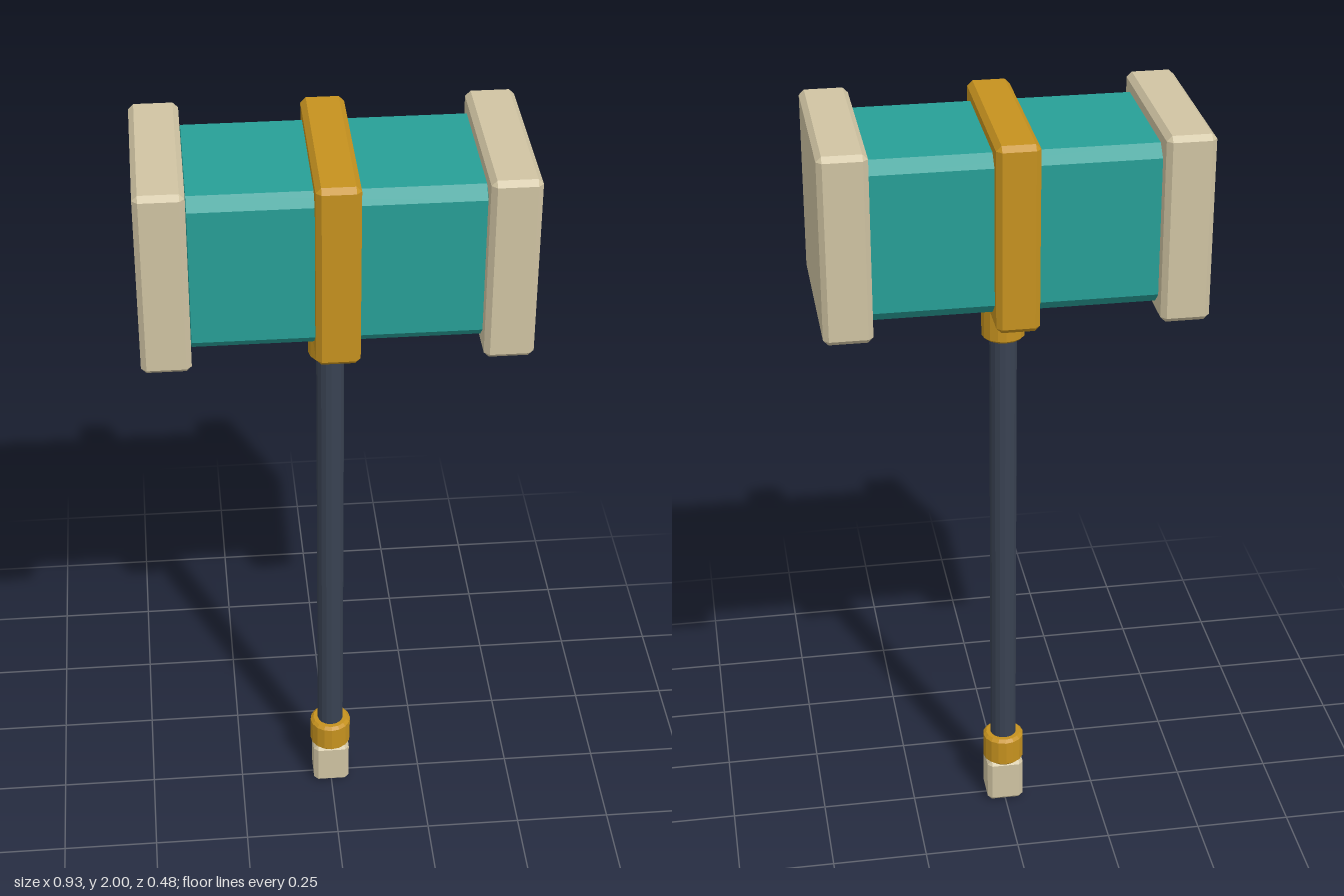
import * as THREE from 'three';
import { ConvexGeometry } from 'three/addons/geometries/ConvexGeometry.js';

const material = (name, color) => {
  const m = new THREE.MeshStandardMaterial({ color, flatShading: true });
  m.name = name;
  return m;
};

// Box with chamfered edges; cx, cy, cz set the chamfer along each axis
function chamferBox(w, h, d, cx, cy = cx, cz = cx) {
  const points = [];
  for (const sx of [-1, 1]) for (const sy of [-1, 1]) for (const sz of [-1, 1]) {
    const add = (x, y, z) => points.push(new THREE.Vector3(sx * x, sy * y, sz * z));
    const x = w / 2, y = h / 2, z = d / 2;
    add(x, y - cy, z - cz);
    add(x - cx, y, z - cz);
    add(x - cx, y - cy, z);
  }
  return new ConvexGeometry(points);
}

// Closed upright cylinder with chamfered rims
function chamferCylinder(r, y0, y1, c) {
  const profile = [[0, y0], [r - c, y0], [r, y0 + c], [r, y1 - c], [r - c, y1], [0, y1]];
  return new THREE.LatheGeometry(profile.map(p => new THREE.Vector2(...p)), 16);
}

export function createModel() {
  const model = new THREE.Group();
  model.name = 'warHammer';
  const teal = material('teal', 0x279f97);
  const stone = material('palestone', 0xd0c4a3);
  const gold = material('gold', 0xc6921f);
  const slate = material('slate', 0x394252);

  const add = (name, geometry, mat, x = 0, y = 0) => {
    const mesh = new THREE.Mesh(geometry, mat);
    mesh.name = name;
    mesh.position.set(x, y, 0);
    model.add(mesh);
  };

  // Hammer head
  const headY = 1.763;
  add('headBlock', chamferBox(0.7, 0.406, 0.406, 0.005, 0.029, 0.029), teal, 0, headY);
  add('headBand', chamferBox(0.106, 0.474, 0.476, 0.013), gold, 0, headY);
  for (const [name, side] of [['leftStrikingPlate', 1], ['rightStrikingPlate', -1]])
    add(name, chamferBox(0.12, 0.474, 0.476, 0.013), stone, side * 0.407, headY);

  // Handle with collars
  add('shaft', new THREE.CylinderGeometry(0.035, 0.035, 1.28, 16), slate, 0, 0.8);
  add('upperCollar', chamferCylinder(0.055, 1.411, 1.54, 0.006), gold);
  add('lowerCollar', chamferCylinder(0.055, 0.12, 0.204, 0.008), gold);

  // Pommel
  add('pommel', chamferBox(0.098, 0.13, 0.098, 0.012), stone, 0, 0.065);
  return model;
}
